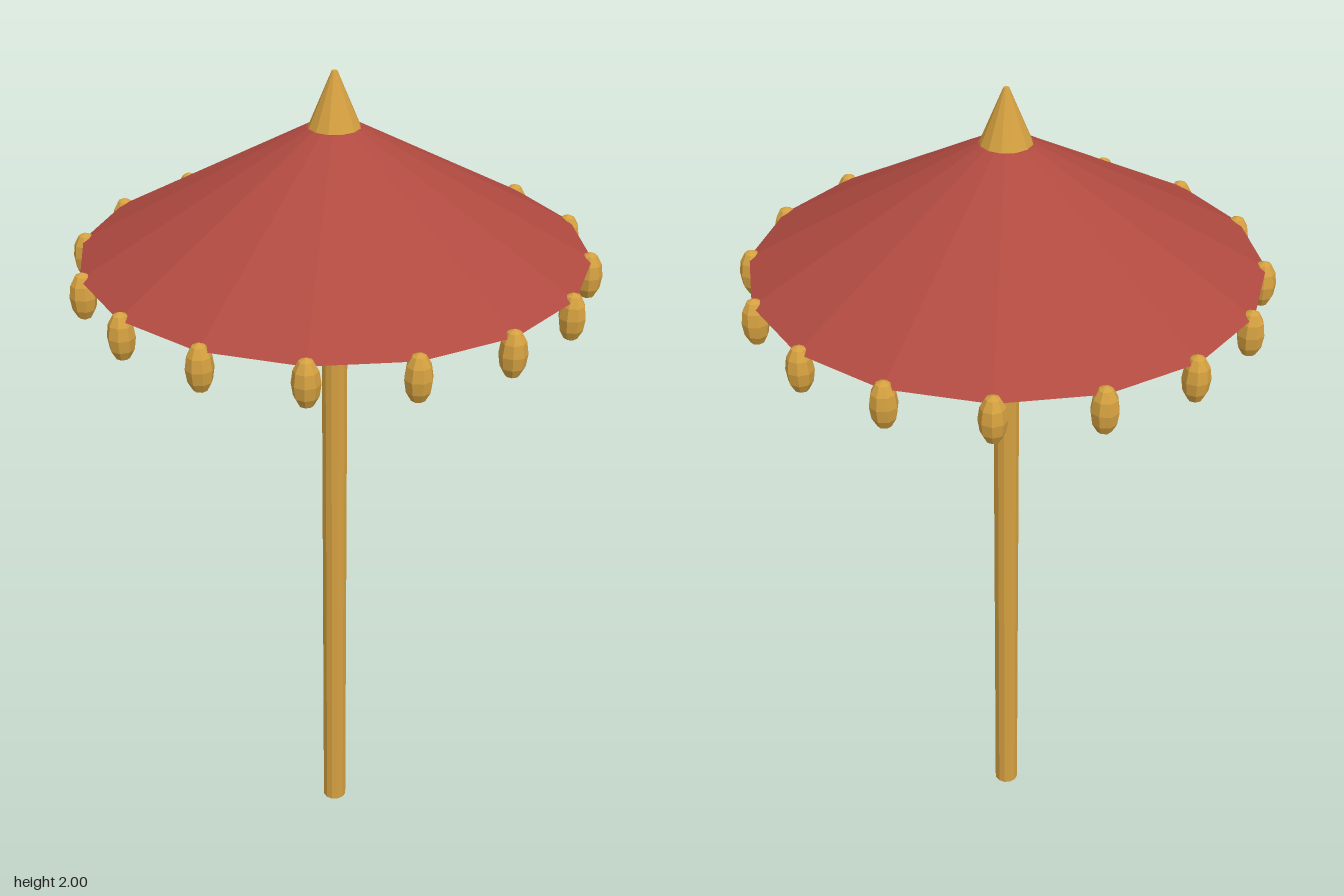
import * as THREE from 'three';

export function createModel() {
  const model = new THREE.Group();
  model.name = 'parasol';

  const gold = new THREE.MeshStandardMaterial({ color: 0xd4a040, flatShading: true });
  gold.name = 'gold';
  const red = new THREE.MeshStandardMaterial({ color: 0xb04a40, flatShading: true });
  red.name = 'red';

  const add = (name, geometry, material, x, y, z) => {
    const mesh = new THREE.Mesh(geometry, material);
    mesh.name = name;
    mesh.position.set(x, y, z);
    model.add(mesh);
    return mesh;
  };

  const sides = 16;

  // Pole, running up into the canopy
  add('pole', new THREE.CylinderGeometry(0.03, 0.03, 1.7, 12), gold, 0, 0.85, 0);

  // Canopy with a closed flat underside
  add('canopy', new THREE.CylinderGeometry(0.06, 0.565, 0.28, sides), red, 0, 1.74, 0);

  // Pointed finial
  add('finial', new THREE.CylinderGeometry(0.006, 0.057, 0.12, 12), gold, 0, 1.94, 0);

  // One tassel bead at each canopy corner
  const bead = new THREE.SphereGeometry(0.03, 8, 6);
  bead.scale(1, 1.83, 1);
  for (let i = 0; i < sides; i++) {
    const a = (i / sides) * Math.PI * 2;
    const tassel = add('tassel', bead, gold, Math.sin(a) * 0.56, 1.562, Math.cos(a) * 0.56);
    tassel.rotation.y = a;
  }

  return model;
}
